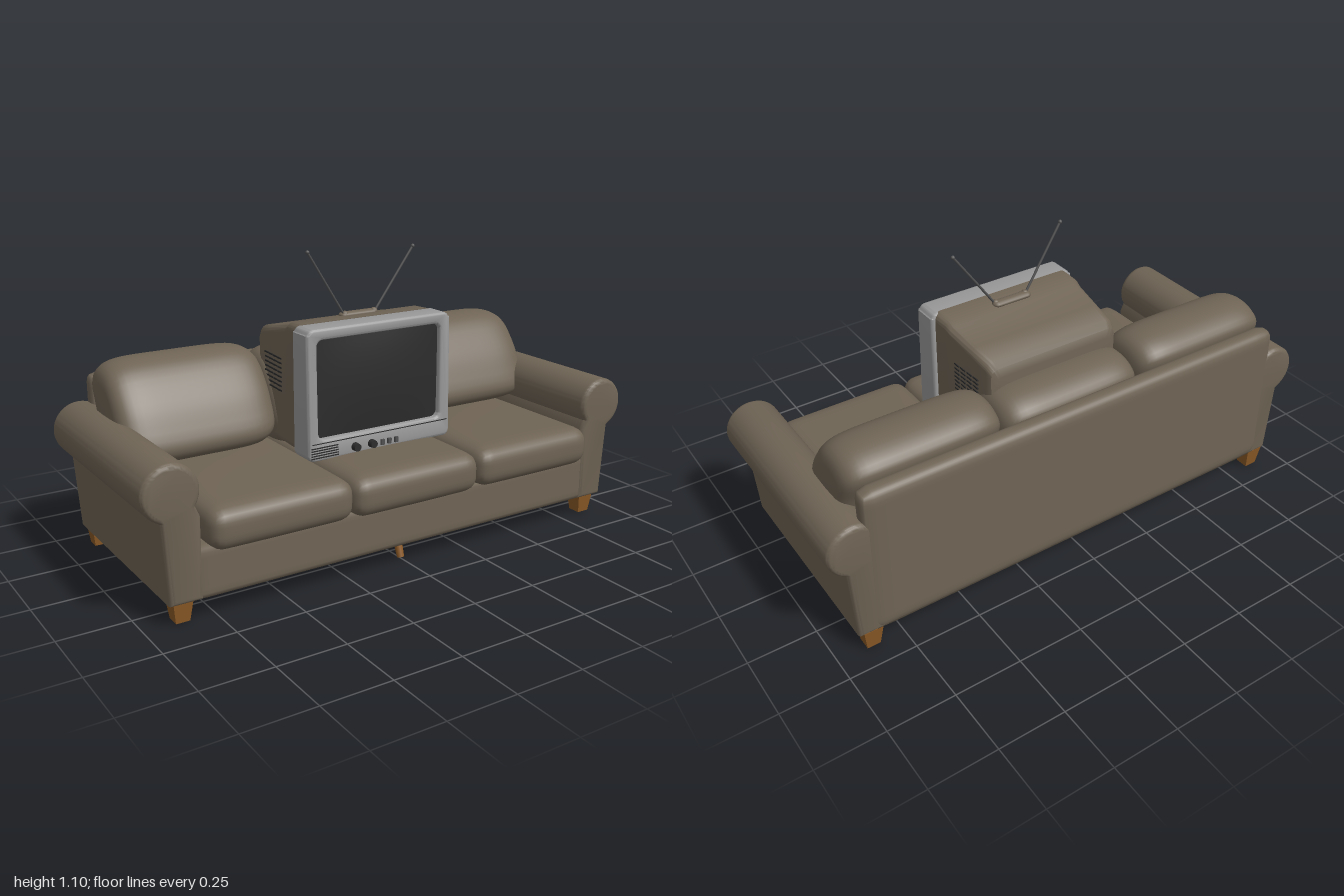
import * as THREE from 'three';
import { mergeVertices, toCreasedNormals } from 'three/addons/utils/BufferGeometryUtils.js';

const mat = (name, color, side = THREE.FrontSide) => {
  const m = new THREE.MeshStandardMaterial({ color, side });
  m.name = name;
  return m;
};

// Rounded, optionally puffed box with smooth normals
function softBox(w, h, d, r, puff = 0, seg = [24, 10, 24]) {
  let g = new THREE.BoxGeometry(w, h, d, ...seg);
  const half = new THREE.Vector3(w / 2 - r, h / 2 - r, d / 2 - r);
  const p = g.attributes.position, v = new THREE.Vector3(), c = new THREE.Vector3();
  for (let i = 0; i < p.count; i++) {
    v.fromBufferAttribute(p, i);
    c.copy(v).clamp(half.clone().negate(), half);
    v.sub(c).setLength(r).add(c);
    const u = 1 - (2 * v.x / w) ** 2, t = 1 - (2 * v.z / d) ** 2;
    v.y += Math.sign(v.y) * puff * u * t * Math.min(1, Math.abs(v.y) * 4 / h);
    p.setXYZ(i, v.x, v.y, v.z);
  }
  g.deleteAttribute('uv');
  g.deleteAttribute('normal');
  g = mergeVertices(g, 1e-5);
  g.computeVertexNormals();
  return g;
}

// Closed skin through equal-sized rings, capped at both ends
function loft(rings) {
  const n = rings[0].length, pos = [], idx = [];
  rings.forEach(r => r.forEach(v => pos.push(v.x, v.y, v.z)));
  for (let i = 0; i < rings.length - 1; i++) for (let j = 0; j < n; j++) {
    const a = i * n + j, b = i * n + (j + 1) % n;
    idx.push(a, b, a + n, b, b + n, a + n);
  }
  [0, rings.length - 1].forEach((k, end) => {
    const c = new THREE.Vector3();
    rings[k].forEach(v => c.addScaledVector(v, 1 / n));
    const ci = pos.length / 3;
    pos.push(c.x, c.y, c.z);
    for (let j = 0; j < n; j++) {
      const a = k * n + j, b = k * n + (j + 1) % n;
      end ? idx.push(ci, a, b) : idx.push(ci, b, a);
    }
  });
  const g = new THREE.BufferGeometry();
  g.setAttribute('position', new THREE.Float32BufferAttribute(pos, 3));
  g.setIndex(idx);
  return toCreasedNormals(g, 0.7);
}

function roundRect(x0, x1, y0, y1, r, Type = THREE.Shape) {
  const s = new Type();
  s.absarc(x1 - r, y0 + r, r, -Math.PI / 2, 0);
  s.absarc(x1 - r, y1 - r, r, 0, Math.PI / 2);
  s.absarc(x0 + r, y1 - r, r, Math.PI / 2, Math.PI);
  s.absarc(x0 + r, y0 + r, r, Math.PI, Math.PI * 1.5);
  s.closePath();
  return s;
}

// Leaning back cushion: side profile swept along x with rounded ends
function backCushion(width) {
  const profile = [[-0.25, 0.73], [-0.17, 0.71], [-0.09, 0.625], [-0.035, 0.53], [-0.005, 0.43],
    [-0.1, 0.375], [-0.28, 0.39], [-0.34, 0.55], [-0.38, 0.67], [-0.33, 0.715]];
  const ring = new THREE.CatmullRomCurve3(profile.map(([z, y]) => new THREE.Vector3(0, y, z)), true).getPoints(40);
  ring.pop();
  const rings = [], N = 28, mid = new THREE.Vector3(0, 0.56, -0.21);
  for (let i = 0; i <= N; i++) {
    const t = Math.sin((i / N - 0.5) * Math.PI * 0.999);
    const s = Math.max(0.02, (1 - Math.abs(t) ** 6) ** (1 / 5));
    rings.push(ring.map(v => v.clone().sub(mid).multiplyScalar(s).add(mid).setX(t * width / 2)));
  }
  return loft(rings);
}

export function createModel() {
  const fabric = mat('brown fabric', 0x6f6455);
  const wood = mat('wood', 0x8b5a27);
  const grey = mat('grey plastic', 0x989898);
  const dark = mat('dark glass', 0x2c2c2c);
  const metal = mat('antenna metal', 0x505050);

  const root = new THREE.Group();
  const group = name => { const g = new THREE.Group(); g.name = name; root.add(g); return g; };
  const add = (parent, name, geo, m, x = 0, y = 0, z = 0) => {
    const mesh = new THREE.Mesh(geo, m);
    mesh.name = name;
    mesh.position.set(x, y, z);
    parent.add(mesh);
    return mesh;
  };

  // Sofa frame
  const sofa = group('sofa');
  add(sofa, 'base', softBox(1.72, 0.175, 0.82, 0.012), fabric, 0, 0.1625, -0.025);
  add(sofa, 'backrest', softBox(1.74, 0.578, 0.08, 0.035, 0, [40, 30, 8]), fabric, 0, 0.364, -0.403);

  // Rolled arms
  const arm = new THREE.Shape();
  arm.moveTo(0.805, 0.075);
  arm.lineTo(0.92, 0.075);
  arm.lineTo(0.94, 0.357);
  arm.absarc(0.902, 0.45, 0.099, -1.1, Math.PI + 0.6);
  arm.lineTo(0.805, 0.36);
  arm.closePath();
  const armGeo = toCreasedNormals(new THREE.ExtrudeGeometry(arm, {
    depth: 0.785, curveSegments: 32, bevelThickness: 0.02, bevelSize: 0.018, bevelOffset: -0.018, bevelSegments: 4,
  }).translate(0, 0, -0.3925), 0.7);
  add(sofa, 'leftArm', armGeo, fabric, 0, 0, -0.0225);
  add(sofa, 'rightArm', armGeo, fabric, 0, 0, -0.0225).rotation.y = Math.PI;

  // Cushions
  const seatGeo = softBox(0.535, 0.145, 0.78, 0.055, 0.008);
  for (const x of [-0.528, 0, 0.528])
    add(sofa, 'seatCushion', seatGeo, fabric, x, x ? 0.312 : 0.308, 0.055);
  const sideCushion = backCushion(0.6);
  for (const s of [-1, 1]) add(sofa, 'backCushion', sideCushion, fabric, s * 0.588, 0, 0);
  add(sofa, 'middleBackCushion', backCushion(0.58), fabric, 0, -0.025, 0);

  // Tapered sofa feet
  const foot = new THREE.CylinderGeometry(0.05, 0.035, 0.08, 4).rotateY(Math.PI / 4).toNonIndexed();
  foot.computeVertexNormals();
  for (const x of [-0.868, 0.868]) for (const z of [0.33, -0.395])
    add(sofa, 'sofaFoot', foot, wood, x, 0.04, z);

  // Low table beneath
  const table = group('lowTable');
  add(table, 'tableTop', new THREE.BoxGeometry(0.79, 0.018, 0.43), wood, 0, 0.063, 0.005);
  for (const x of [-0.38, 0.38]) for (const z of [-0.172, 0.187])
    add(table, 'tableLeg', new THREE.BoxGeometry(0.03, 0.056, 0.052), wood, x, 0.028, z);

  // Splayed pegs on each side of the table
  const peg = new THREE.CylinderGeometry(0.017, 0.013, 0.085, 10);
  for (let i = 0; i < 4; i++) {
    const a = i * Math.PI / 2, pivot = new THREE.Group();
    pivot.name = 'splayedPeg';
    pivot.rotation.y = a;
    table.add(pivot);
    add(pivot, 'peg', peg, wood, 0.308, 0.041, 0).rotation.z = 0.35;
  }

  // Dark oval pedestal under the table
  add(table, 'pedestal', new THREE.CylinderGeometry(0.2, 0.17, 0.025, 40).scale(1, 1, 0.36), dark, 0, 0.03, 0);
  add(table, 'pedestalBottom', new THREE.CylinderGeometry(0.17, 0.16, 0.018, 40).scale(1.2, 1, 0.2), dark, 0, 0.011, 0);

  // Television body: rounded rings from back to front
  const tv = group('television');
  const stations = [[-0.232, 0.25, 0.735], [-0.228, 0.263, 0.77], [-0.205, 0.27, 0.792], [-0.12, 0.277, 0.81],
    [0, 0.286, 0.834], [0.025, 0.288, 0.847], [0.1, 0.29, 0.85]];
  add(tv, 'tvBody', loft(stations.map(([z, hw, top]) =>
    roundRect(-hw, hw, 0.385, top, 0.03).getPoints(6)
      .filter((p, i, a) => !i || p.distanceTo(a[i - 1]) > 1e-6)
      .map(p => new THREE.Vector3(p.x, p.y, z)))), fabric);

  // Front shell with screen opening
  const shell = roundRect(-0.305, 0.305, 0.378, 0.848, 0.025);
  shell.holes.push(roundRect(-0.263, 0.258, 0.455, 0.808, 0.025, THREE.Path));
  const shellGeo = new THREE.ExtrudeGeometry(shell, {
    depth: 0.085, curveSegments: 8, bevelThickness: 0.012, bevelSize: 0.01, bevelOffset: -0.01, bevelSegments: 3,
  }).translate(0, 0, 0.1);
  const sp = shellGeo.attributes.position;
  for (let i = 0; i < sp.count; i++) {
    const x = sp.getX(i), y = sp.getY(i);
    if (y > 0.83) sp.setX(i, x * 0.985);
    if (sp.getZ(i) > 0.15) sp.setZ(i, sp.getZ(i) - Math.max(0, y - 0.55) * 0.03);
  }
  add(tv, 'tvShell', toCreasedNormals(shellGeo, 0.6), grey);

  // Bulging screen
  const screen = new THREE.PlaneGeometry(0.53, 0.36, 16, 12);
  const q = screen.attributes.position;
  for (let i = 0; i < q.count; i++)
    q.setZ(i, 0.014 * (1 - (q.getX(i) / 0.265) ** 2) * (1 - (q.getY(i) / 0.18) ** 2));
  screen.computeVertexNormals();
  add(tv, 'screen', screen, dark, -0.002, 0.632, 0.172);

  // Front controls: speaker slats, panel seam and knobs
  for (let i = 0; i < 5; i++)
    add(tv, 'speakerSlat', new THREE.BoxGeometry(0.11, 0.004, 0.004), dark, -0.24, 0.392 + i * 0.009, 0.197);
  add(tv, 'panelSeam', new THREE.BoxGeometry(0.58, 0.003, 0.004), dark, 0, 0.443, 0.197);
  const knob = new THREE.CylinderGeometry(0.014, 0.016, 0.024, 16).rotateX(Math.PI / 2);
  for (const x of [-0.115, -0.045]) add(tv, 'knob', knob, dark, x, 0.408, 0.205);
  for (const x of [0, 0.03, 0.06])
    add(tv, 'button', new THREE.BoxGeometry(0.014, 0.02, 0.012), metal, x, 0.405, 0.2);

  // Side vents
  for (const s of [-1, 1]) for (let r = 0; r < 8; r++) for (let c = 0; c < 4; c++) {
    const z = -0.04 - c * 0.036;
    add(tv, 'ventSlot', new THREE.BoxGeometry(0.006, 0.006, 0.03), dark,
      s * (0.2855 + z * 0.072), 0.585 + r * 0.017, z);
  }

  // Antenna mount and two rods
  add(tv, 'antennaMount', new THREE.CapsuleGeometry(0.02, 0.12, 6, 16).rotateZ(Math.PI / 2).scale(1, 0.6, 1), fabric, 0.005, 0.848, 0.03);
  for (const [x0, x1, top] of [[-0.055, -0.212, 1.088], [0.07, 0.236, 1.076]]) {
    const a = new THREE.Vector3(x0, 0.845, 0.035), b = new THREE.Vector3(x1, top, 0.042);
    add(tv, 'antennaRod', new THREE.TubeGeometry(new THREE.LineCurve3(a, b), 1, 0.0045, 8), metal);
    add(tv, 'antennaTip', new THREE.SphereGeometry(0.0075, 12, 8), metal, b.x, b.y, b.z);
    add(tv, 'antennaSocket', new THREE.SphereGeometry(0.014, 12, 8), fabric, a.x, a.y + 0.005, a.z);
  }
  return root;
}
